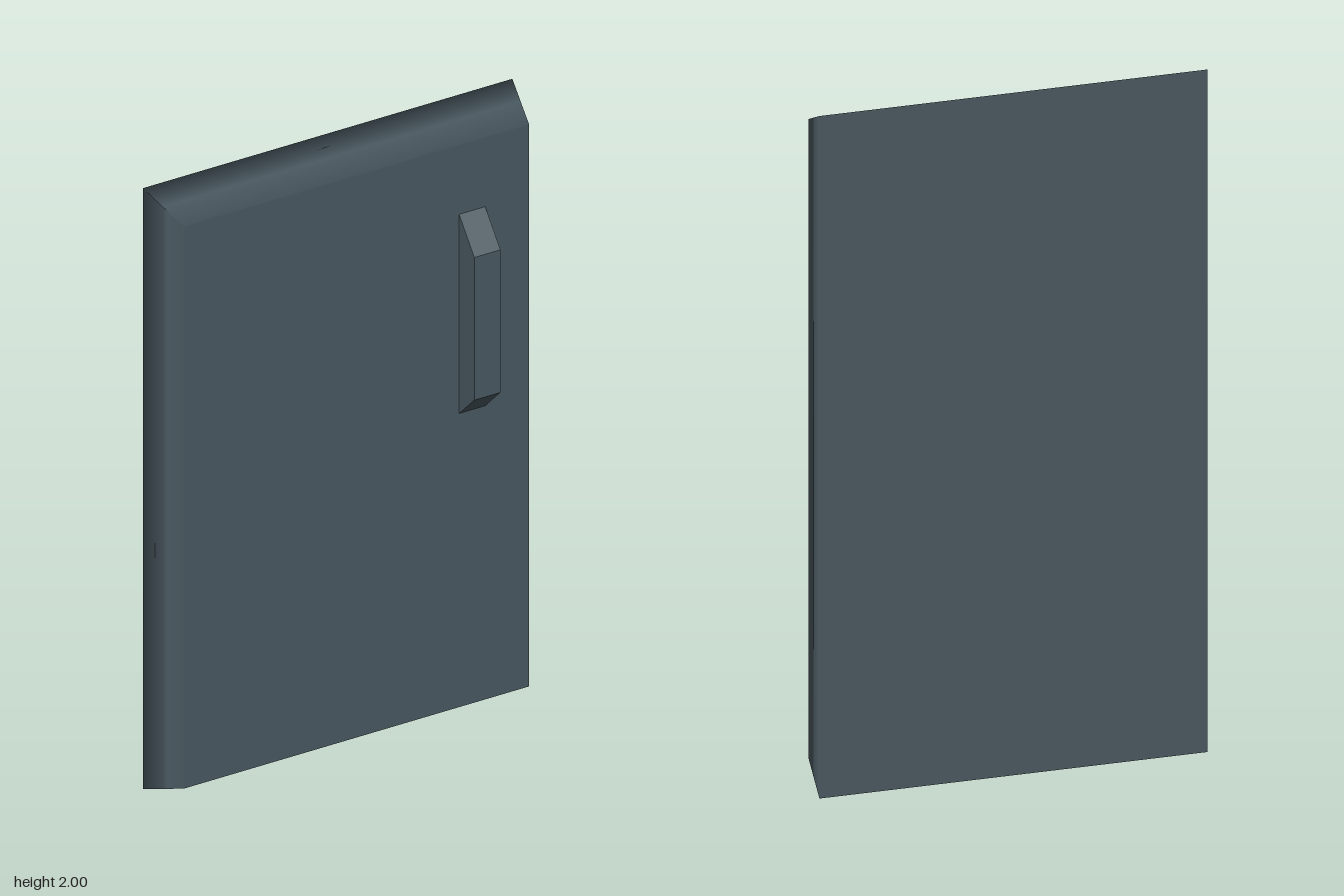
import * as THREE from 'three';

export function createModel() {
  const group = new THREE.Group();
  const slate = new THREE.MeshStandardMaterial({ color: 0x4b5a62 });
  slate.name = 'slate';

  // Front and back outlines of the tapered slab
  const front = { x0: -0.55, x1: 0.56, y0: 0.075, y1: 1.945, z: 0.035 };
  const back = { x0: -0.595, x1: 0.593, y0: 0, y1: 2, z: -0.122 };
  const outline = (t) => {
    const v = (k) => THREE.MathUtils.lerp(front[k], back[k], t);
    return [['x0', 'y0'], ['x1', 'y0'], ['x1', 'y1'], ['x0', 'y1']].map(([x, y]) => [v(x), v(y), v('z')]);
  };

  // Each ring: depth fraction, outward share and z share of its normal
  const rings = [[0, 0.1, 1], [0.42, 0.35, 1], [0.51, 1, 0], [1, 0.2, -1]];
  const outward = [[0, -1], [1, 0], [0, 1], [-1, 0]];
  const position = [], normal = [], index = [];
  const addVertex = (p, n) => {
    position.push(...p);
    normal.push(...new THREE.Vector3(...n).normalize().toArray());
  };

  // Soft-shaded tapered sides
  outward.forEach(([ox, oy], side) => {
    const start = position.length / 3;
    rings.forEach(([t, out, nz], r) => {
      const corners = outline(t);
      for (const p of [corners[side], corners[(side + 1) % 4]]) addVertex(p, [ox * out, oy * out, nz]);
      if (r === 0) return;
      const a = start + (r - 1) * 2;
      index.push(a, a + 2, a + 1, a + 1, a + 2, a + 3);
    });
  });

  // Flat front and back faces
  [[0, 1], [1, -1]].forEach(([t, nz]) => {
    const a = position.length / 3;
    outline(t).forEach((p) => addVertex(p, [0, 0, nz]));
    if (nz > 0) index.push(a, a + 1, a + 2, a, a + 2, a + 3);
    else index.push(a, a + 2, a + 1, a, a + 3, a + 2);
  });

  const slab = new THREE.BufferGeometry();
  slab.setAttribute('position', new THREE.Float32BufferAttribute(position, 3));
  slab.setAttribute('normal', new THREE.Float32BufferAttribute(normal, 3));
  slab.setIndex(index);
  const panel = new THREE.Mesh(slab, slate);
  panel.name = 'doorPanel';
  group.add(panel);

  // Handle: trapezoid side profile, extruded across x
  const profile = new THREE.Shape([[-0.033, 1.05], [-0.123, 1.145], [-0.123, 1.62], [-0.033, 1.717]]
    .map(([x, y]) => new THREE.Vector2(x, y)));
  const bar = new THREE.ExtrudeGeometry(profile, { depth: 0.084, bevelEnabled: false });
  bar.rotateY(Math.PI / 2);
  const handle = new THREE.Mesh(bar, slate);
  handle.position.x = 0.335;
  handle.name = 'handle';
  group.add(handle);

  return group;
}
